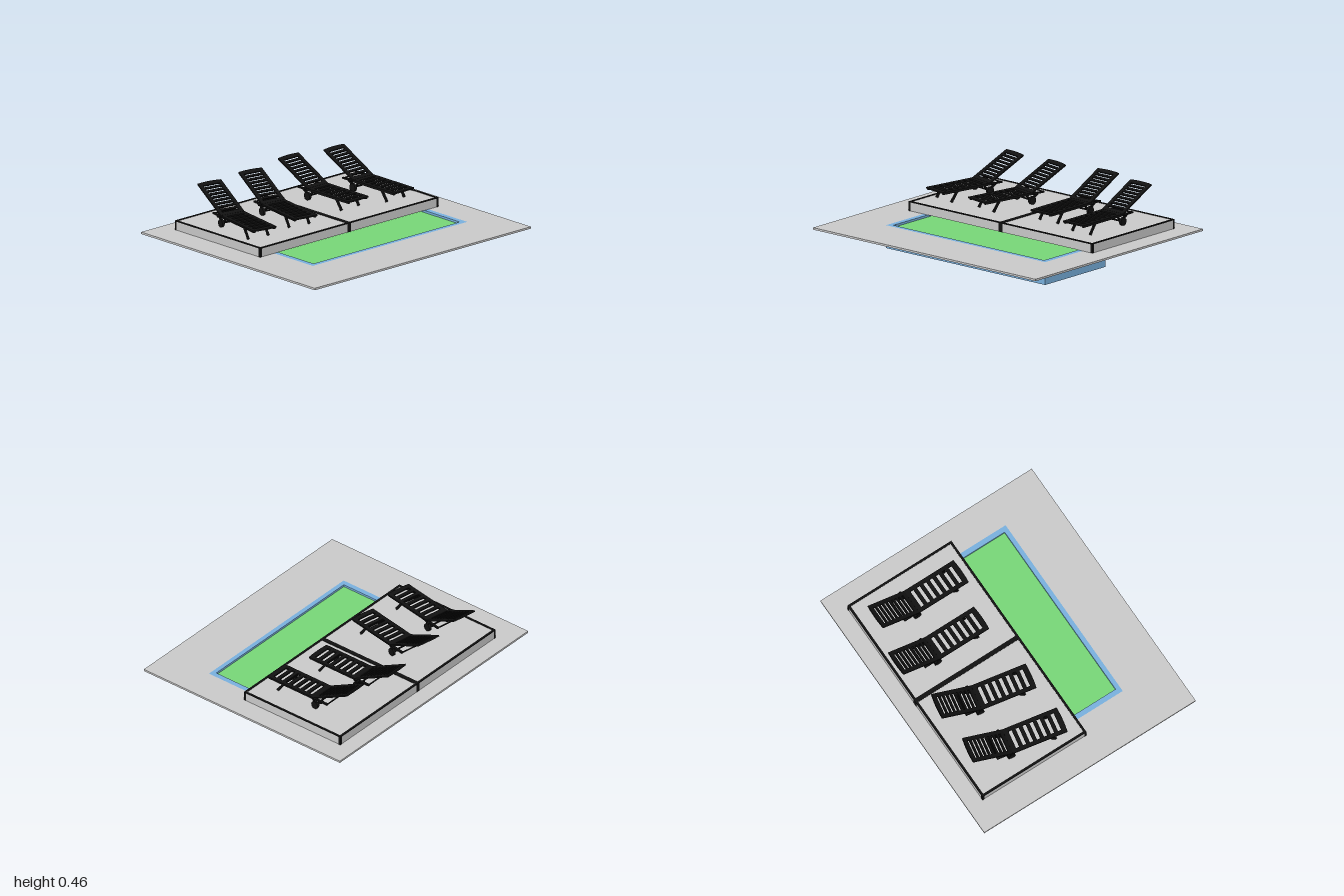
import * as THREE from 'three';

const paint = (color) => new THREE.MeshStandardMaterial({ color, flatShading: true });
const grey = paint(0xcccccc);
const black = paint(0x111111);
const blue = paint(0x7ab2e0);
const green = paint(0x78d878);

function add(parent, name, geometry, material, x = 0, y = 0, z = 0) {
  const mesh = new THREE.Mesh(geometry, material);
  mesh.name = name;
  mesh.position.set(x, y, z);
  parent.add(mesh);
  return mesh;
}

// Box given by its extents
function block(parent, name, material, [x0, x1], [y0, y1], [z0, z1]) {
  return add(parent, name, new THREE.BoxGeometry(x1 - x0, y1 - y0, z1 - z0), material,
    (x0 + x1) / 2, (y0 + y1) / 2, (z0 + z1) / 2);
}

function tracePath(path, x0, x1, z0, z1) {
  path.moveTo(x0, -z1).lineTo(x1, -z1).lineTo(x1, -z0).lineTo(x0, -z0).closePath();
  return path;
}

// Flat plate lying in XZ with rectangular holes, extruded upwards
function layFlat(shape, height) {
  return new THREE.ExtrudeGeometry(shape, { depth: height, bevelEnabled: false, curveSegments: 8 })
    .rotateX(-Math.PI / 2);
}
function frame(outer, inner, height) {
  const shape = tracePath(new THREE.Shape(), ...outer);
  shape.holes.push(tracePath(new THREE.Path(), ...inner));
  return layFlat(shape, height);
}

// Slatted panel running from z = 0 to z = -length with bowed ends
function slattedPanel(length, slots, margin, bowFoot, bowHead) {
  const w = 0.094;
  const shape = new THREE.Shape();
  shape.moveTo(-w, 0).quadraticCurveTo(0, -2 * bowFoot, w, 0);
  shape.lineTo(w, length).quadraticCurveTo(0, length + 2 * bowHead, -w, length).closePath();
  const pitch = (length - 2 * margin) / slots;
  for (let i = 0; i < slots; i++) {
    const z = -(margin + pitch * (i + 0.5));
    shape.holes.push(tracePath(new THREE.Path(), -0.066, 0.066, z - pitch * 0.24, z + pitch * 0.24));
  }
  return layFlat(shape, 0.01);
}

// Square bar between two points in a plane of constant x
function bar(parent, name, x, [y0, z0], [y1, z1], thickness) {
  const length = Math.hypot(y1 - y0, z1 - z0);
  const mesh = add(parent, name, new THREE.BoxGeometry(0.012, length, thickness), black,
    x, (y0 + y1) / 2, (z0 + z1) / 2);
  mesh.rotation.x = Math.atan2(z1 - z0, y1 - y0);
}

function crossRod(parent, name, radius, length, x, y, z, sides = 10) {
  const geometry = new THREE.CylinderGeometry(radius, radius, length, sides).rotateZ(Math.PI / 2);
  return add(parent, name, geometry, black, x, y, z);
}

// Sun lounger: foot end at the origin, head towards -z
function createLounger() {
  const lounger = new THREE.Group();
  lounger.name = 'sunLounger';
  add(lounger, 'seatPanel', slattedPanel(0.4, 7, 0.02, 0.005, 0), black, 0, 0.075, -0.005);
  const back = add(lounger, 'backrest', slattedPanel(0.325, 9, 0.02, 0, 0.006), black, 0, 0.077, -0.41);
  back.rotation.x = 0.47;

  for (const side of [-1, 1]) {
    const x = side * 0.08;
    block(lounger, 'sideRail', black, [x - 0.008, x + 0.008], [0.066, 0.077], [-0.52, -0.01]);
    bar(lounger, 'frontLeg', x, [0.002, -0.085], [0.07, -0.135], 0.016);
    bar(lounger, 'rearLeg', x * 0.88, [0.026, -0.415], [0.07, -0.475], 0.016);
    bar(lounger, 'rearBrace', x * 0.88, [0.026, -0.415], [0.07, -0.37], 0.012);
    crossRod(lounger, 'wheel', 0.028, 0.018, side * 0.084, 0.028, -0.415, 20);
    crossRod(lounger, 'hinge', 0.011, 0.014, side * 0.097, 0.077, -0.435, 12);
  }
  crossRod(lounger, 'axle', 0.006, 0.17, 0, 0.028, -0.415);
  crossRod(lounger, 'frontStretcher', 0.005, 0.16, 0, 0.06, -0.128);
  crossRod(lounger, 'tailRod', 0.005, 0.17, 0, 0.071, -0.515);
  return lounger;
}

// Platform section with dark top edging and corner posts
function createDeck(x0, x1) {
  const deck = new THREE.Group();
  deck.name = 'deckSection';
  const [z0, z1, y0, y1, t] = [-0.738, 0.105, 0.16, 0.225, 0.016];
  block(deck, 'deckBody', grey, [x0 + 0.002, x1 - 0.002], [y0, y1 - 0.002], [z0 + 0.002, z1 - 0.002]);
  add(deck, 'topEdging', frame([x0, x1, z0, z1], [x0 + t, x1 - t, z0 + t, z1 - t], 0.006),
    black, 0, y1 - 0.005, 0);
  for (const x of [x0, x1 - t]) {
    for (const z of [z0, z1 - t]) {
      block(deck, 'cornerPost', black, [x, x + t], [y0, y1], [z, z + t]);
    }
  }
  return deck;
}

export function createModel() {
  const model = new THREE.Group();
  model.name = 'poolTerrace';

  // Paving with an opening for the pool
  const pool = [-0.67, 0.76, -0.13, 0.485];
  const inner = [-0.632, 0.722, -0.095, 0.452];
  add(model, 'paving', frame([-1, 1, -0.857, 0.857], pool, 0.014), grey, 0, 0.146, 0);

  // Sunken basin and water
  add(model, 'poolWall', frame(pool, inner, 0.16), blue);
  block(model, 'poolFloor', blue, [inner[0], inner[1]], [0, 0.02], [inner[2], inner[3]]);
  block(model, 'water', green, [inner[0], inner[1]], [0.02, 0.145], [inner[2], inner[3]]);

  // Two platform sections side by side
  model.add(createDeck(-0.8, 0.025), createDeck(0.025, 0.85));

  // Loungers: x, z of the foot end and turn
  const places = [[-0.66, 0.005, -0.18], [-0.281, 0.005, -0.18], [0.252, -0.043, 0], [0.607, 0.027, 0]];
  for (const [x, z, turn] of places) {
    const lounger = createLounger();
    lounger.position.set(x, 0.225, z);
    lounger.rotation.y = turn;
    model.add(lounger);
  }
  return model;
}
